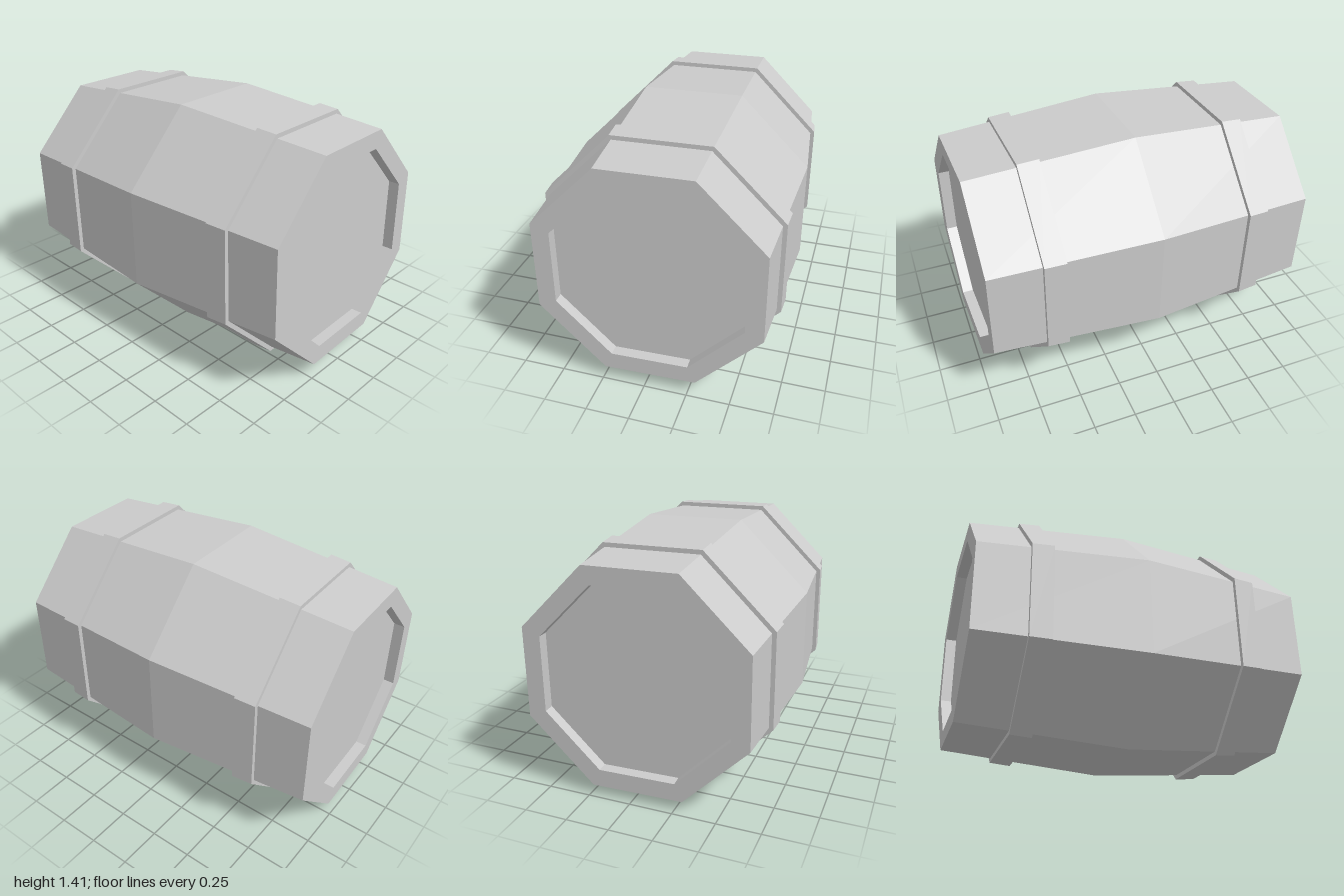
import * as THREE from 'three';

const SIDES = 8;
const MID = 0.707, END = 0.635, HALF = 0.978; // flat-to-centre sizes and half length
const LID = 0.532, RECESS = 0.065;

// Eight-sided solid of revolution along z; profile is [flat radius, z] from back to front
function octagonal(name, profile, material) {
  const k = 1 / Math.cos(Math.PI / SIDES);
  const points = profile.map(([r, z]) => new THREE.Vector2(r * k, z));
  const geometry = new THREE.LatheGeometry(points, SIDES, Math.PI / SIDES);
  geometry.rotateX(Math.PI / 2);
  const mesh = new THREE.Mesh(geometry, material);
  mesh.name = name;
  return mesh;
}

export function createModel() {
  const wood = new THREE.MeshStandardMaterial({ color: 0xcccccc, flatShading: true });
  const barrel = new THREE.Group();
  barrel.name = 'barrel';

  // Bulging body with a rim and a recessed lid at each end
  const frontHalf = [[END, HALF], [LID, HALF], [LID, HALF - RECESS], [0, HALF - RECESS]];
  const backHalf = frontHalf.map(([r, z]) => [r, -z]).reverse();
  barrel.add(octagonal('body', [...backHalf, [MID, 0], ...frontHalf], wood));

  // Hoops following the taper of the body
  const bodyRadius = (z) => MID - (MID - END) * Math.abs(z) / HALF;
  for (const [name, z] of [['frontHoop', 0.617], ['backHoop', -0.617]]) {
    const a = z - 0.062, b = z + 0.062;
    barrel.add(octagonal(name, [
      [bodyRadius(a) - 0.01, a], [bodyRadius(a) + 0.025, a],
      [bodyRadius(b) + 0.025, b], [bodyRadius(b) - 0.01, b],
    ], wood));
  }

  // Lies slightly askew
  barrel.rotation.set(-0.0145, 0.032, 0);
  barrel.position.y = 0.708;

  const model = new THREE.Group();
  model.add(barrel);
  return model;
}
